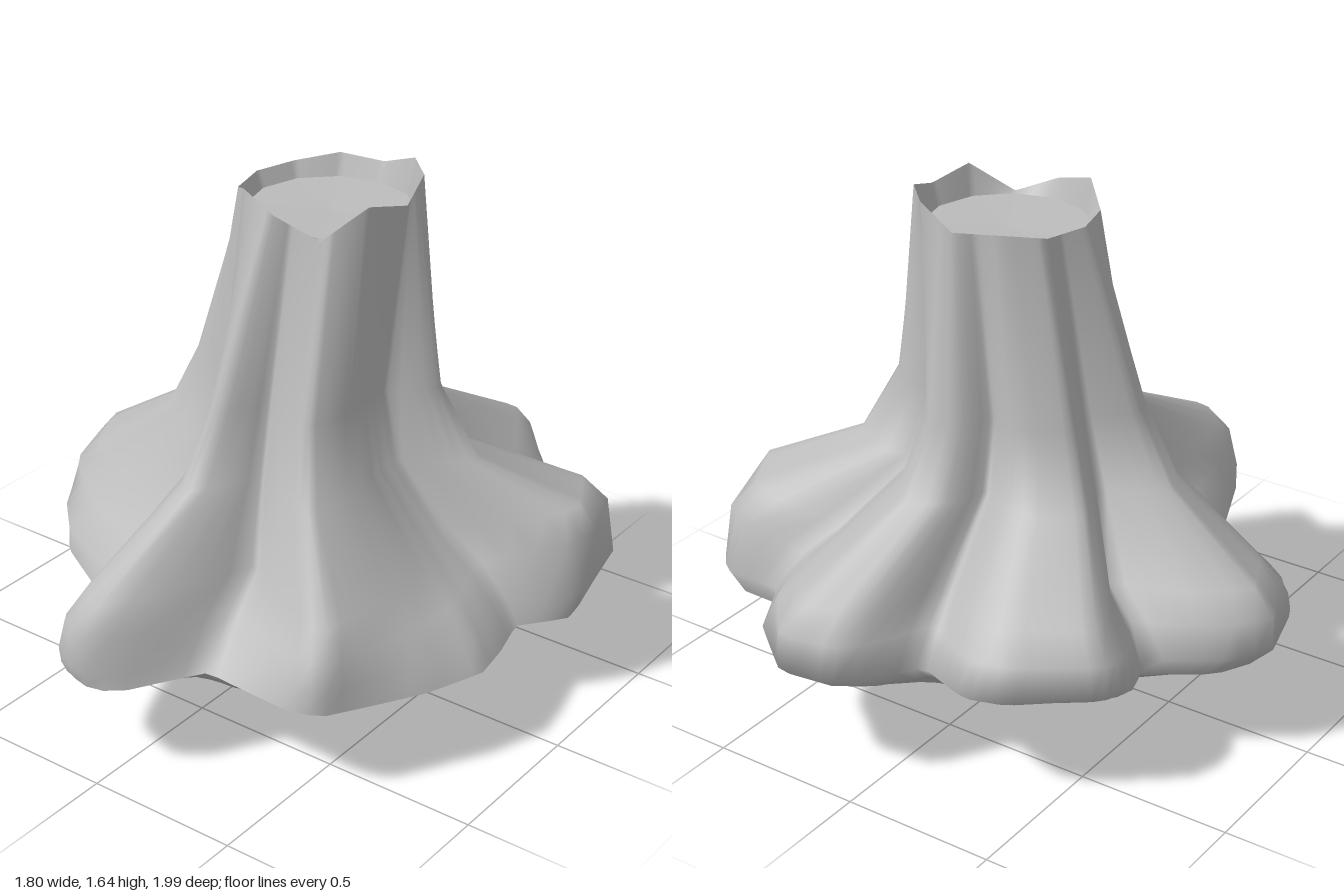
import * as THREE from 'three';

const CX = 0.07, CZ = -0.07, N = 120, TURN = Math.PI * 2;
const lerp = THREE.MathUtils.lerp;

// Ground outline: x, z, root strength (0 = valley, 1 = crest), shoulder height
const OUTLINE = [
  [0.81, 0.05, 0.02, 0.54], [0.83, 0.18, 0.1, 0.53], [0.76, 0.37, 0.4, 0.53], [0.59, 0.67, 0.95, 0.54],
  [0.5, 0.71, 0.65, 0.53], [0.2, 0.71, 0.02, 0.54], [0.05, 0.97, 0.65, 0.56], [-0.03, 1.0, 1, 0.57],
  [-0.13, 0.98, 1, 0.57], [-0.22, 0.93, 0.75, 0.55], [-0.37, 0.57, 0, 0.54], [-0.69, 0.4, 0.25, 0.54],
  [-0.8, 0.27, 0.5, 0.55], [-0.85, 0.15, 0.85, 0.56], [-0.9, -0.07, 1, 0.56], [-0.85, -0.19, 0.75, 0.55],
  [-0.65, -0.35, 0.25, 0.54], [-0.69, -0.5, 0.65, 0.54], [-0.64, -0.59, 0.9, 0.55], [-0.42, -0.79, 0.7, 0.55],
  [-0.3, -0.84, 0.5, 0.54], [-0.1, -0.79, 0.08, 0.54], [0.05, -0.99, 0.75, 0.56], [0.25, -1.0, 1, 0.57],
  [0.47, -0.86, 0.55, 0.55], [0.6, -0.67, 0.15, 0.56], [0.8, -0.65, 0.6, 0.62], [0.85, -0.58, 0.8, 0.64],
  [0.89, -0.32, 1.1, 0.65], [0.89, -0.24, 0.8, 0.63], [0.77, -0.1, 0.05, 0.55],
].map(([x, z, s, h]) => ({
  a: (Math.atan2(z - CZ, x - CX) + TURN) % TURN, r: Math.hypot(x - CX, z - CZ), s, h,
})).sort((p, q) => p.a - q.a);

// Jagged rim heights, every 30 degrees from +x towards +z
const RIM = [1.6, 1.63, 1.53, 1.59, 1.63, 1.58, 1.58, 1.58, 1.6, 1.59, 1.645, 1.645];

// Interpolate the outline (straight edges) and rim at one angle
function column(i) {
  const a = (i / N) * TURN, n = OUTLINE.length;
  const k = Math.max(0, OUTLINE.findIndex((p) => p.a > a));
  const q = OUTLINE[k], p = OUTLINE[(k + n - 1) % n];
  const span = (q.a - p.a + TURN) % TURN, d = (a - p.a + TURN) % TURN, t = d / span;
  const r = p.r * q.r * Math.sin(span) / (p.r * Math.sin(d) + q.r * Math.sin(span - d));
  const f = (i / N) * 12, j = Math.floor(f);
  // Twelve-sided trunk mouth
  const mouth = Math.cos(Math.PI / 12) / Math.cos((f - j - 0.5) * Math.PI / 6);
  return {
    a, r, mouth, s: lerp(p.s, q.s, t), h: lerp(p.h, q.h, t),
    rim: lerp(RIM[j], RIM[(j + 1) % 12], f - j),
  };
}
const COLUMNS = Array.from({ length: N }, (_, i) => column(i));

// Skin a stack of rings; each maps a column to [radius, height, x shift, z shift]
function skin(rings, name, material) {
  const pos = [], idx = [];
  for (const ring of rings) {
    for (const c of COLUMNS) {
      const [r, y, dx = 0, dz = 0] = ring(c);
      pos.push(CX + dx + r * Math.cos(c.a), y, CZ + dz + r * Math.sin(c.a));
    }
  }
  for (let j = 0; j < rings.length - 1; j++) {
    for (let i = 0; i < N; i++) {
      const a = j * N + i, b = j * N + (i + 1) % N;
      idx.push(a, a + N, b, b, a + N, b + N);
    }
  }
  const g = new THREE.BufferGeometry();
  g.setAttribute('position', new THREE.Float32BufferAttribute(pos, 3));
  g.setIndex(idx);
  g.computeVertexNormals();
  const mesh = new THREE.Mesh(g, material);
  mesh.name = name;
  return mesh;
}

export function createModel() {
  const group = new THREE.Group();
  group.name = 'treeStump';
  const grey = new THREE.MeshStandardMaterial({ color: 0xbcbcbc });
  grey.name = 'stumpGrey';

  // Rings shared between neighbouring parts; the foot is undercut at the back
  const foot = (c) => {
    const front = Math.sin(c.a), side = Math.cos(c.a);
    return [
      c.r * Math.min(1, 0.91 + 0.08 * front + 0.04 * side + 0.05 * side * side),
      0.293 + 0.029 * Math.max(0, front) ** 6,
    ];
  };
  const rim = (c) => [0.28 * c.mouth, c.rim];

  // Flared roots rising into the slightly leaning trunk
  group.add(skin([
    foot,
    (c) => [c.r * lerp(0.93, 1, c.s), 0.37],
    (c) => [c.r * lerp(0.79, 0.995, c.s), c.h - 0.08],
    (c) => [c.r * lerp(0.62, 0.925, c.s), c.h],
    (c) => [lerp(0.32, 0.53, c.s), 0.775, -0.035, 0.05],
    (c) => [lerp(0.27, 0.41, c.s), 1.0, -0.035, 0.05],
    rim,
  ], 'trunkAndRoots', grey));

  // Pointed underside
  group.add(skin([
    () => [0, 0],
    (c) => [0.42 - 0.05 * Math.cos(c.a), 0.14],
    (c) => [Math.min(foot(c)[0] * 0.97, 0.78), 0.285],
    foot,
  ], 'underside', grey));

  // Inner wall of the broken top, then its floor
  const floor = (c) => [0.255 * c.mouth, 1.53];
  group.add(skin([rim, floor], 'innerRim', grey));
  group.add(skin([floor, () => [0, 1.52]], 'brokenTop', grey));
  return group;
}
